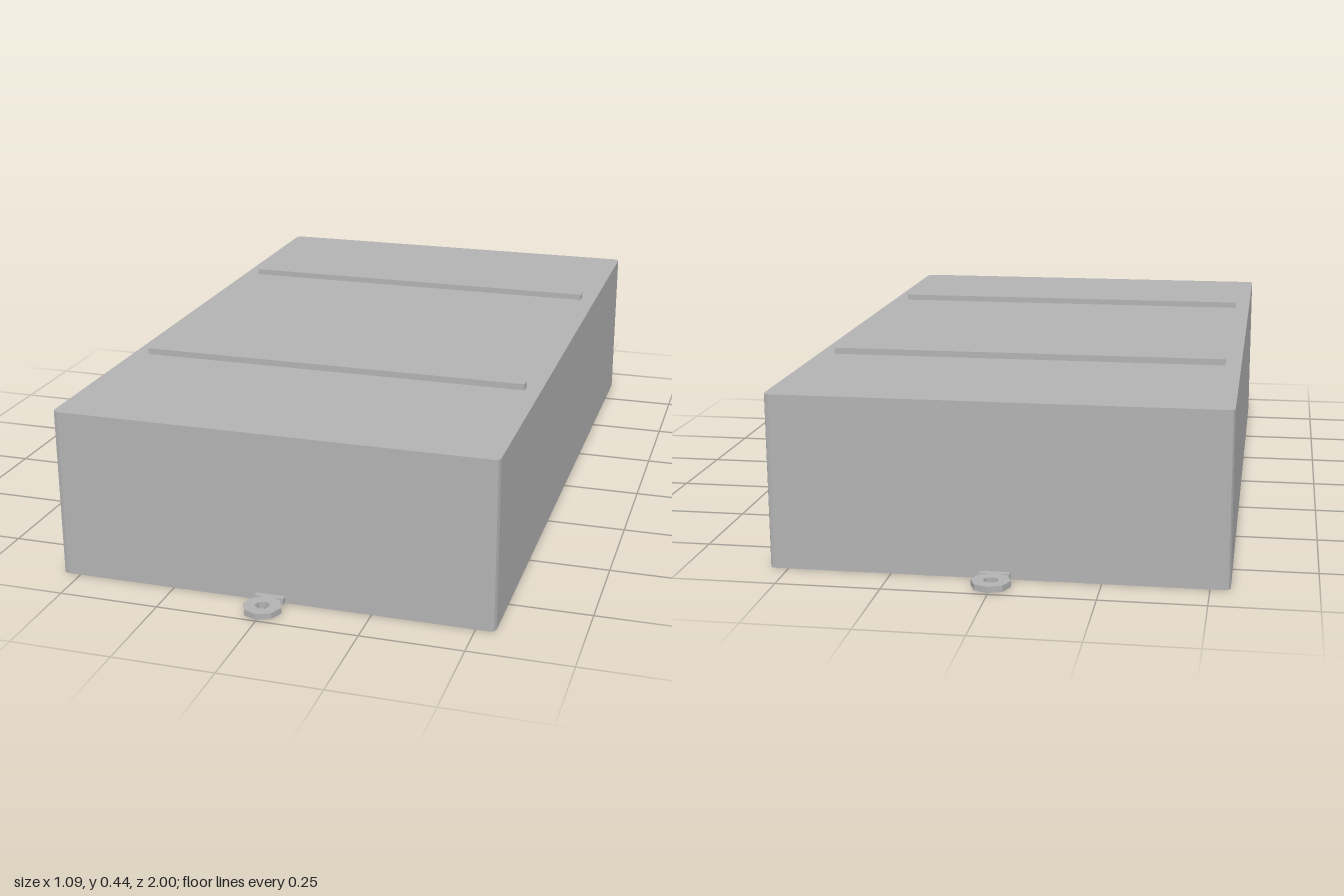
import * as THREE from 'three';

const grey = new THREE.MeshStandardMaterial({ color: 0xb2b2b2 });
grey.name = 'grey';

const W = 0.547, D = 0.895, H = 0.425; // half width, half depth, height

// Extrudes a plan outline upwards from y = 0
function plate(shape, height, curveSegments = 1) {
  const g = new THREE.ExtrudeGeometry(shape, { depth: height, bevelEnabled: false, curveSegments });
  return g.rotateX(-Math.PI / 2);
}

function add(parent, name, geometry, x = 0, y = 0, z = 0) {
  const mesh = new THREE.Mesh(geometry, grey);
  mesh.name = name;
  mesh.position.set(x, y, z);
  parent.add(mesh);
  return mesh;
}

// Points of a regular octagon with a corner on each axis
function octagon(r) {
  return Array.from({ length: 8 }, (_, i) =>
    new THREE.Vector2(r * Math.cos(i * Math.PI / 4), r * Math.sin(i * Math.PI / 4)));
}

export function createModel() {
  const model = new THREE.Group();
  model.name = 'enclosure';

  // Box with small cut corners
  const c = 0.014, k = 0.004;
  const outline = [];
  for (const [sx, sy] of [[1, 1], [-1, 1], [-1, -1], [1, -1]]) {
    const corner = [[W, D - c], [W - k, D - k], [W - c, D]];
    if (sx * sy < 0) corner.reverse();
    for (const [x, y] of corner) outline.push(new THREE.Vector2(sx * x, sy * y));
  }
  add(model, 'body', plate(new THREE.Shape(outline), H));

  for (const s of [1, -1]) {
    // Raised rib across the lid
    add(model, s > 0 ? 'frontRib' : 'backRib',
      new THREE.BoxGeometry(1.012, 0.02, 0.026), 0, H + 0.006, s * 0.414);

    // Mounting lug: octagonal eyelet on a short tab
    const lug = new THREE.Group();
    lug.name = s > 0 ? 'frontLug' : 'backLug';
    const ring = new THREE.Shape(octagon(0.047));
    ring.holes.push(new THREE.Path(octagon(0.018)));
    add(lug, 'eyelet', plate(ring, 0.015), 0, 0.003, s * 0.953);
    add(lug, 'tab', new THREE.BoxGeometry(0.072, 0.015, 0.02), 0, 0.0105, s * 0.9);
    model.add(lug);
  }
  return model;
}
